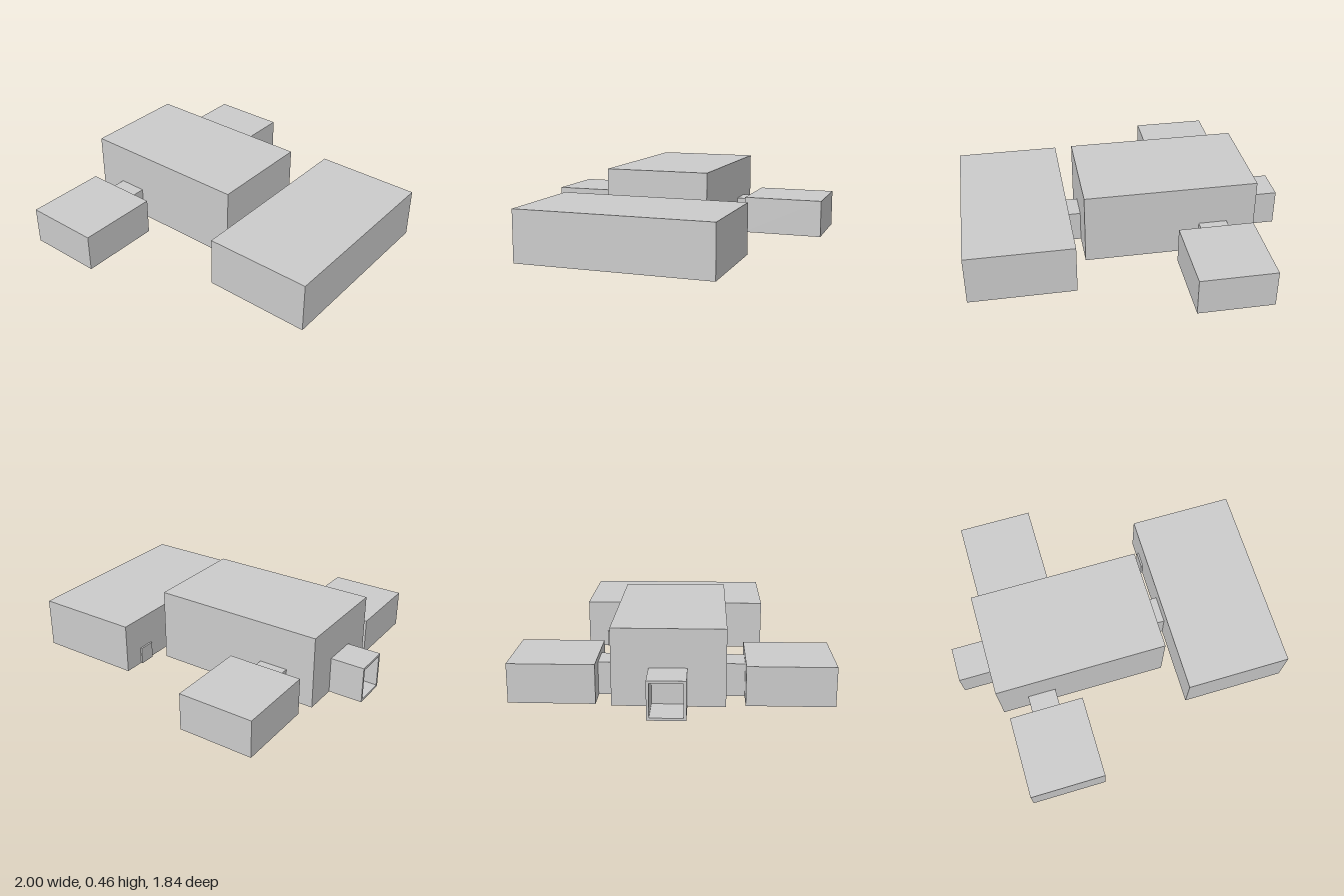
import * as THREE from 'three';

const material = new THREE.MeshStandardMaterial({ color: 0xcccccc, flatShading: true });

// Box given by its limits on each axis
function block(name, [x0, x1], [y0, y1], [z0, z1]) {
  const mesh = new THREE.Mesh(new THREE.BoxGeometry(x1 - x0, y1 - y0, z1 - z0), material);
  mesh.position.set((x0 + x1) / 2, (y0 + y1) / 2, (z0 + z1) / 2);
  mesh.name = name;
  return mesh;
}

// Rectangle added to a shape or hole path
function rectangle(path, x0, x1, y0, y1) {
  path.moveTo(x0, y0);
  path.lineTo(x1, y0);
  path.lineTo(x1, y1);
  path.lineTo(x0, y1);
  path.closePath();
  return path;
}

// Open-ended passage running along x
function tunnel(name, [x0, x1], [y0, y1], [z0, z1], wall) {
  const shape = rectangle(new THREE.Shape(), z0, z1, y0, y1);
  shape.holes.push(rectangle(new THREE.Path(), z0 + wall, z1 - wall, y0 + wall, y1 - wall));
  const geometry = new THREE.ExtrudeGeometry(shape, { depth: x1 - x0, bevelEnabled: false });
  // Shape x becomes world z, extrusion runs towards -x
  geometry.rotateY(-Math.PI / 2);
  geometry.translate(x1, 0, 0);
  const mesh = new THREE.Mesh(geometry, material);
  mesh.name = name;
  return mesh;
}

export function createModel() {
  const model = new THREE.Group();
  model.name = 'roomComplex';

  // Rooms
  model.add(
    block('mainHall', [-0.79, 0.27], [0.01, 0.46], [-0.335, 0.305]),
    block('largeRoom', [0.355, 1], [0.005, 0.313], [-0.61, 0.56]),
    block('frontRoom', [-0.755, -0.29], [0.005, 0.237], [0.415, 0.918]),
    block('backRoom', [-0.755, -0.29], [0.005, 0.237], [-0.925, -0.427])
  );

  // Linking corridors
  model.add(
    block('largeRoomCorridor', [0.27, 0.355], [0.01, 0.205], [-0.105, 0.065]),
    block('frontCorridor', [-0.613, -0.438], [0.01, 0.205], [0.305, 0.415]),
    block('backCorridor', [-0.613, -0.438], [0.01, 0.205], [-0.427, -0.335])
  );

  // Open entrance and a small raised door panel
  model.add(
    tunnel('entrance', [-1, -0.79], [0.01, 0.235], [-0.125, 0.09], 0.015),
    block('doorPanel', [0.344, 0.355], [0.005, 0.11], [-0.485, -0.385])
  );

  return model;
}
